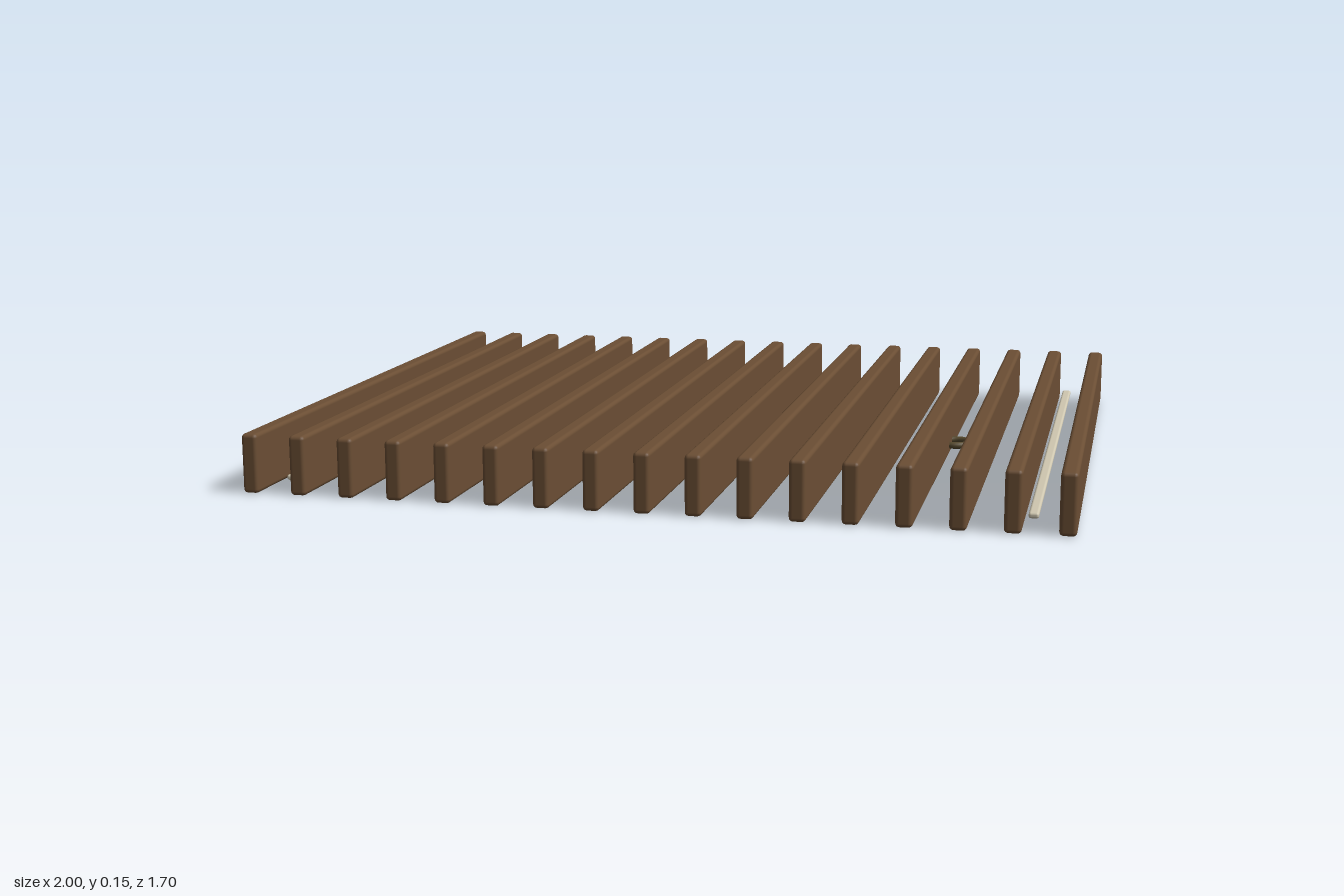
import * as THREE from 'three';
import { RoundedBoxGeometry } from 'three/addons/geometries/RoundedBoxGeometry.js';

const mat = (name, color) => {
  const m = new THREE.MeshStandardMaterial({ color });
  m.name = name;
  return m;
};

export function createModel() {
  const group = new THREE.Group();
  const wood = mat('brown wood', 0x6b4e34);
  const pale = mat('pale strip', 0xcfc7b0);
  const bronze = mat('dark bronze', 0x574a2e);

  const add = (name, geometry, material, x, y) => {
    const mesh = new THREE.Mesh(geometry, material);
    mesh.name = name;
    mesh.position.set(x, y, 0);
    group.add(mesh);
  };

  // Seventeen evenly spaced upright slats
  const slat = new RoundedBoxGeometry(0.04, 0.147, 1.7, 2, 0.01);
  for (let i = -8; i <= 8; i++) add('slat', slat, wood, i * 0.1225, 0.0735);

  // Thin pale strips and low horizontal rings, mirrored left and right
  const strip = new RoundedBoxGeometry(0.024, 0.014, 1.58, 2, 0.006);
  const ring = new THREE.TorusGeometry(0.039, 0.009, 10, 32).rotateX(Math.PI / 2);
  for (const side of [-1, 1]) {
    add('sideStrip', strip, pale, side * 0.9, 0.03);
    add('ring', ring, bronze, side * 0.643, 0.026);
  }
  return group;
}
